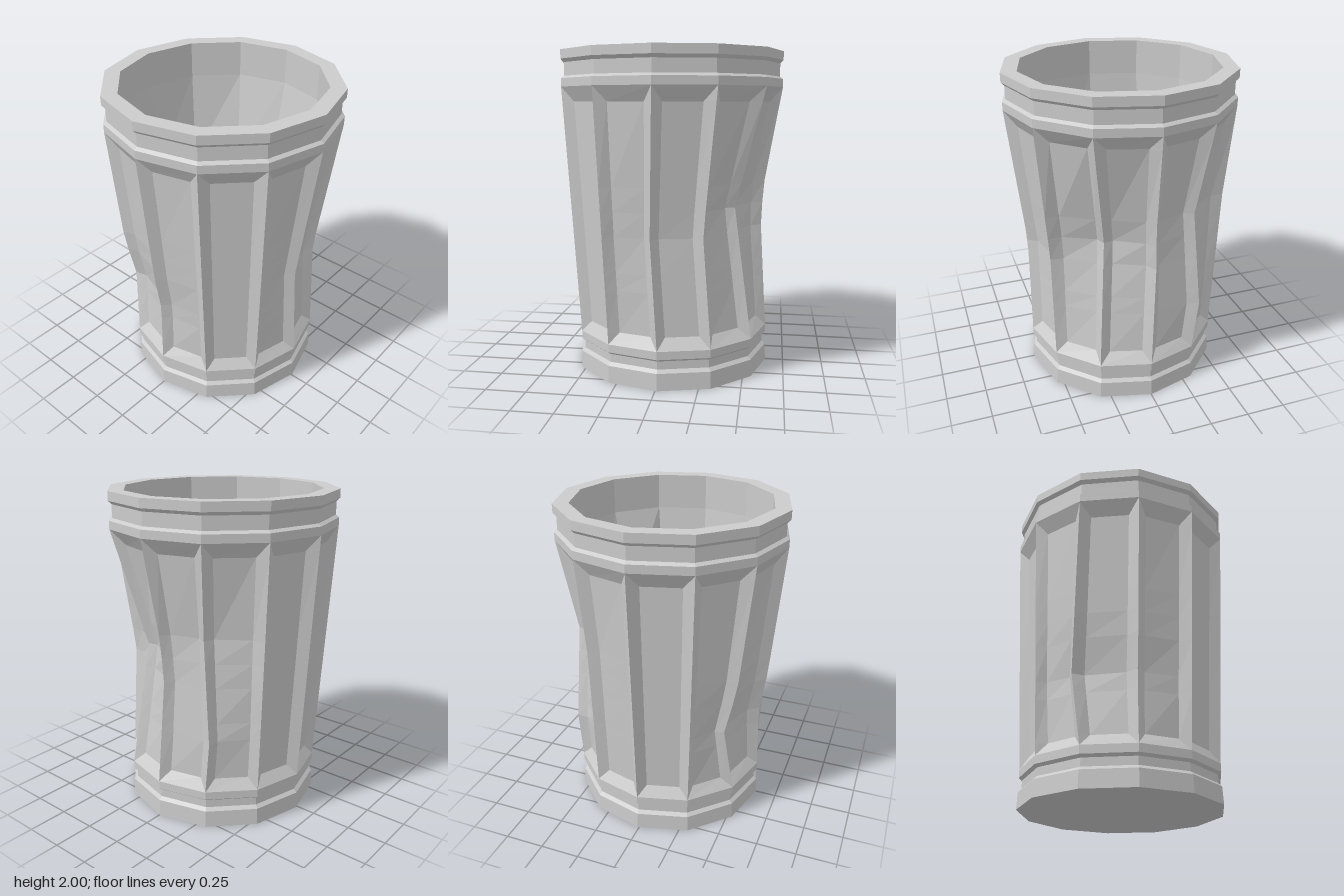
import * as THREE from 'three';

const SIDES = 12;
const material = new THREE.MeshStandardMaterial({ color: 0xcccccc, flatShading: true });

// Dented ridges: corner number (counted from +z towards +x) -> [y, x, z], bottom up
const DENTS = {
  0: [[0.9, -0.03, 0.61]],
  1: [[0.92, 0.27, 0.535]],
  2: [[1.05, 0.435, 0.245]],
  3: [[0.9, 0.59, -0.03], [1.15, 0.6, -0.02]],
  4: [[0.57, 0.55, -0.345], [1.2, 0.525, -0.29]],
  5: [[1.22, 0.325, -0.575]],
  8: [[0.68, -0.47, -0.36], [1.0, -0.54, -0.36]],
  9: [[0.65, -0.595, 0], [0.92, -0.635, 0]],
};
const LOW = 0.24, HIGH = 1.78;

function corner(k, y, r, shift = 0) {
  const a = (k / SIDES) * Math.PI * 2;
  return [y, Math.sin(a) * r + shift, Math.cos(a) * r];
}

// Point on ridge k at height y
function ridge(k, y) {
  k %= SIDES;
  const path = [corner(k, 0, 0.62, 0.01), corner(k, LOW, 0.62, 0.01), ...(DENTS[k] || []),
    corner(k, HIGH, 0.71), corner(k, 2, 0.71)];
  let i = 0;
  while (i < path.length - 2 && y > path[i + 1][0]) i++;
  const [p, q] = [path[i], path[i + 1]];
  const t = (y - p[0]) / (q[0] - p[0]);
  return new THREE.Vector3(p[1] + (q[1] - p[1]) * t, y, p[2] + (q[2] - p[2]) * t);
}

// Skin a stack of closed rings with equal point counts
function skin(rings) {
  const n = rings[0].length, pos = [], index = [];
  rings.forEach((ring) => ring.forEach((p) => pos.push(p.x, p.y, p.z)));
  for (let j = 0; j < rings.length - 1; j++) {
    for (let i = 0; i < n; i++) {
      const a = j * n + i, b = j * n + ((i + 1) % n);
      index.push(a, b, b + n, a, b + n, a + n);
    }
  }
  const g = new THREE.BufferGeometry();
  g.setAttribute('position', new THREE.Float32BufferAttribute(pos, 3));
  g.setIndex(index);
  const flat = g.toNonIndexed();
  flat.computeVertexNormals();
  return flat;
}

// Ring with a recessed panel between each pair of ridges
function panelRing(y) {
  const end = y === LOW || y === HIGH;
  const inset = end ? 0 : 0.18, depth = end ? 0 : 0.045;
  const ring = [];
  for (let k = 0; k < SIDES; k++) {
    const p = ridge(k, y), q = ridge(k + 1, y);
    const a = ((k + 0.5) / SIDES) * Math.PI * 2;
    const inward = new THREE.Vector3(-Math.sin(a) * depth, 0, -Math.cos(a) * depth);
    ring.push(p, p.clone().lerp(q, inset).add(inward), p.clone().lerp(q, 1 - inset).add(inward));
  }
  return ring;
}

function innerRing(y, scale = 0.865) {
  return Array.from({ length: SIDES }, (_, k) => {
    const p = ridge(k, y);
    return new THREE.Vector3(p.x * scale, y, p.z * scale);
  });
}

function lathe(profile) {
  return new THREE.LatheGeometry(profile.map(([r, y]) => new THREE.Vector2(r, y)), SIDES);
}

export function createModel() {
  const group = new THREE.Group();
  const add = (name, geometry) => {
    const mesh = new THREE.Mesh(geometry, material);
    mesh.name = name;
    group.add(mesh);
    return mesh;
  };

  // Fluted, dented wall
  const levels = [LOW, 0.31, 0.57, 0.68, 0.9, 1.05, 1.2, 1.69, HIGH];
  add('dentedWall', skin(levels.map(panelRing)));

  // Inside wall and floor
  const inside = [2, HIGH, 1.2, 1.05, 0.9, 0.68, 0.57, LOW, 0.2].map((y) => innerRing(y));
  add('insideWall', skin([...inside, innerRing(0.2, 0)]));

  // Grooved top band with flat rim
  add('topBand', lathe([[0.71, HIGH], [0.71, 1.83], [0.69, 1.845], [0.69, 1.925],
    [0.71, 1.945], [0.71, 2], [0.614, 2]]));

  // Grooved bottom band with closed underside
  const base = add('bottomBand', lathe([[0, 0], [0.625, 0], [0.62, 0.105], [0.6, 0.125],
    [0.6, 0.175], [0.62, 0.19], [0.62, LOW]]));
  base.position.x = 0.01;

  return group;
}
